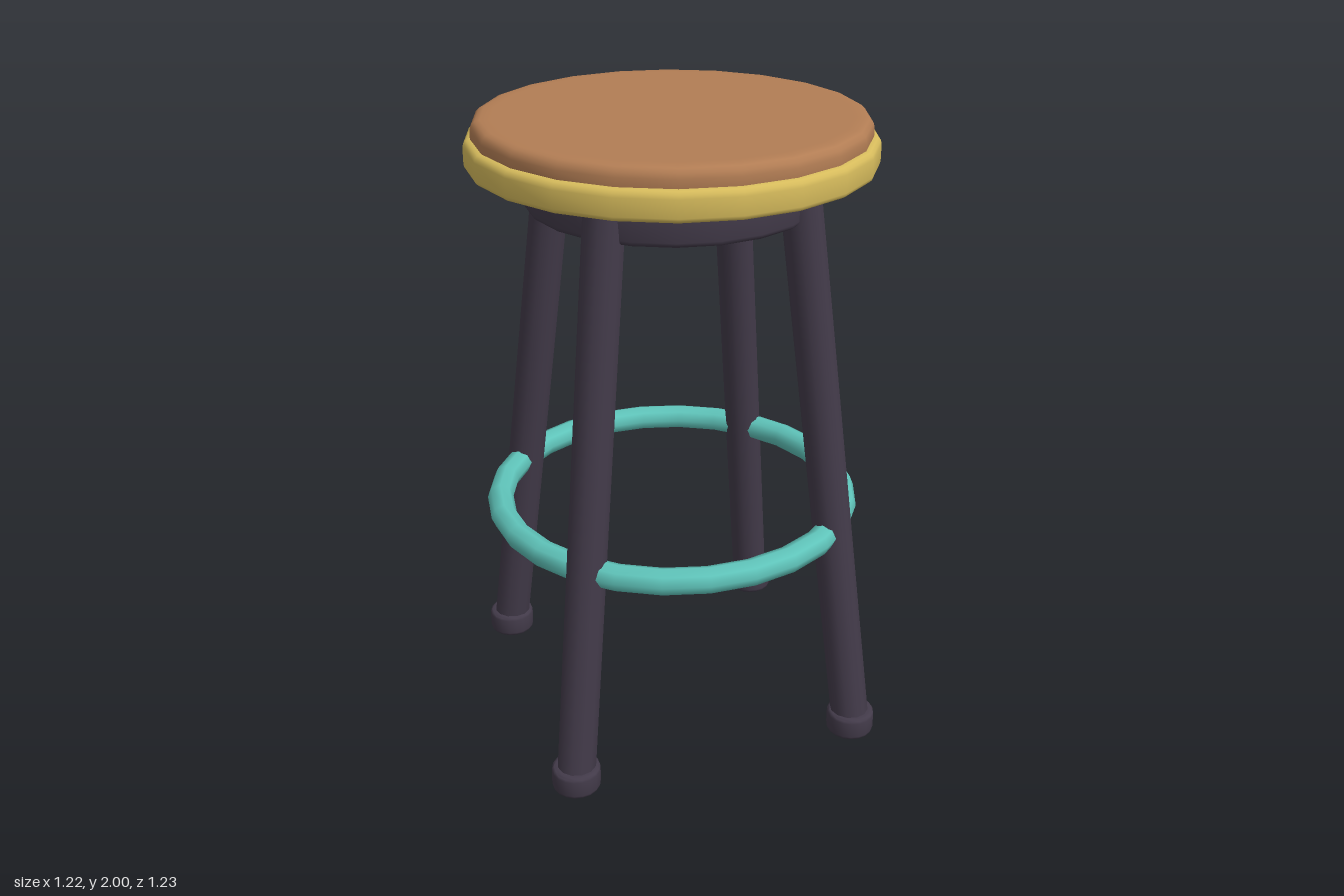
import * as THREE from 'three';
import { toCreasedNormals } from 'three/addons/utils/BufferGeometryUtils.js';

const mat = (name, color) => {
  const m = new THREE.MeshStandardMaterial({ color });
  m.name = name;
  return m;
};

// Solid disc with rounded rims; the extra inner rings keep the flat faces flat.
function disc(radius, y0, y1, bottomRound, topRound, sides) {
  const pts = [new THREE.Vector2(0, y0), new THREE.Vector2(radius - bottomRound * 2, y0)];
  const steps = 3;
  for (let i = 0; i <= steps; i++) {
    const a = (i / steps) * Math.PI / 2;
    pts.push(new THREE.Vector2(radius - bottomRound * (1 - Math.sin(a)), y0 + bottomRound * (1 - Math.cos(a))));
  }
  for (let i = 0; i <= steps; i++) {
    const a = (i / steps) * Math.PI / 2;
    pts.push(new THREE.Vector2(radius - topRound * (1 - Math.cos(a)), y1 - topRound * (1 - Math.sin(a))));
  }
  pts.push(new THREE.Vector2(radius - topRound * 2, y1), new THREE.Vector2(0, y1));
  return toCreasedNormals(new THREE.LatheGeometry(pts, sides), 0.6);
}

export function createModel() {
  const stool = new THREE.Group();
  stool.name = 'stool';
  const brown = mat('brown cushion', 0xb27d54);
  const yellow = mat('yellow trim', 0xd6bb5c);
  const dark = mat('dark frame', 0x423a49);
  const teal = mat('teal ring', 0x5fc4ba);

  const add = (parent, name, geometry, material) => {
    const mesh = new THREE.Mesh(geometry, material);
    mesh.name = name;
    parent.add(mesh);
    return mesh;
  };

  // Seat
  add(stool, 'cushion', disc(0.592, 1.92, 2.0, 0.01, 0.03, 22), brown);
  add(stool, 'seatTrim', disc(0.615, 1.856, 1.945, 0.015, 0.022, 22), yellow);
  add(stool, 'seatHub', disc(0.446, 1.73, 1.847, 0.016, 0.012, 22), dark);

  // Four splayed legs with feet
  const up = new THREE.Vector3(0, 1, 0);
  for (const [sx, side] of [[1, 'Left'], [-1, 'Right']]) {
    for (const [sz, end] of [[1, 'front'], [-1, 'back']]) {
      const leg = new THREE.Group();
      leg.name = end + side + 'Leg';
      const foot = new THREE.Vector3(0.47 * sx, 0.04, 0.47 * sz);
      const top = new THREE.Vector3(0.293 * sx, 1.81, 0.293 * sz);
      const dir = top.clone().sub(foot);
      const post = add(leg, 'post', toCreasedNormals(
        new THREE.CylinderGeometry(0.062, 0.062, dir.length(), 12), 0.7), dark);
      post.position.copy(foot).add(top).multiplyScalar(0.5);
      post.quaternion.setFromUnitVectors(up, dir.normalize());
      const pad = add(leg, 'foot', disc(0.077, 0, 0.08, 0.014, 0.014, 18), dark);
      pad.position.set(foot.x, 0, foot.z);
      stool.add(leg);
    }
  }

  // Foot ring
  const ring = add(stool, 'footRing', new THREE.TorusGeometry(0.564, 0.042, 8, 26), teal);
  ring.rotation.x = Math.PI / 2;
  ring.position.y = 0.736;

  return stool;
}
